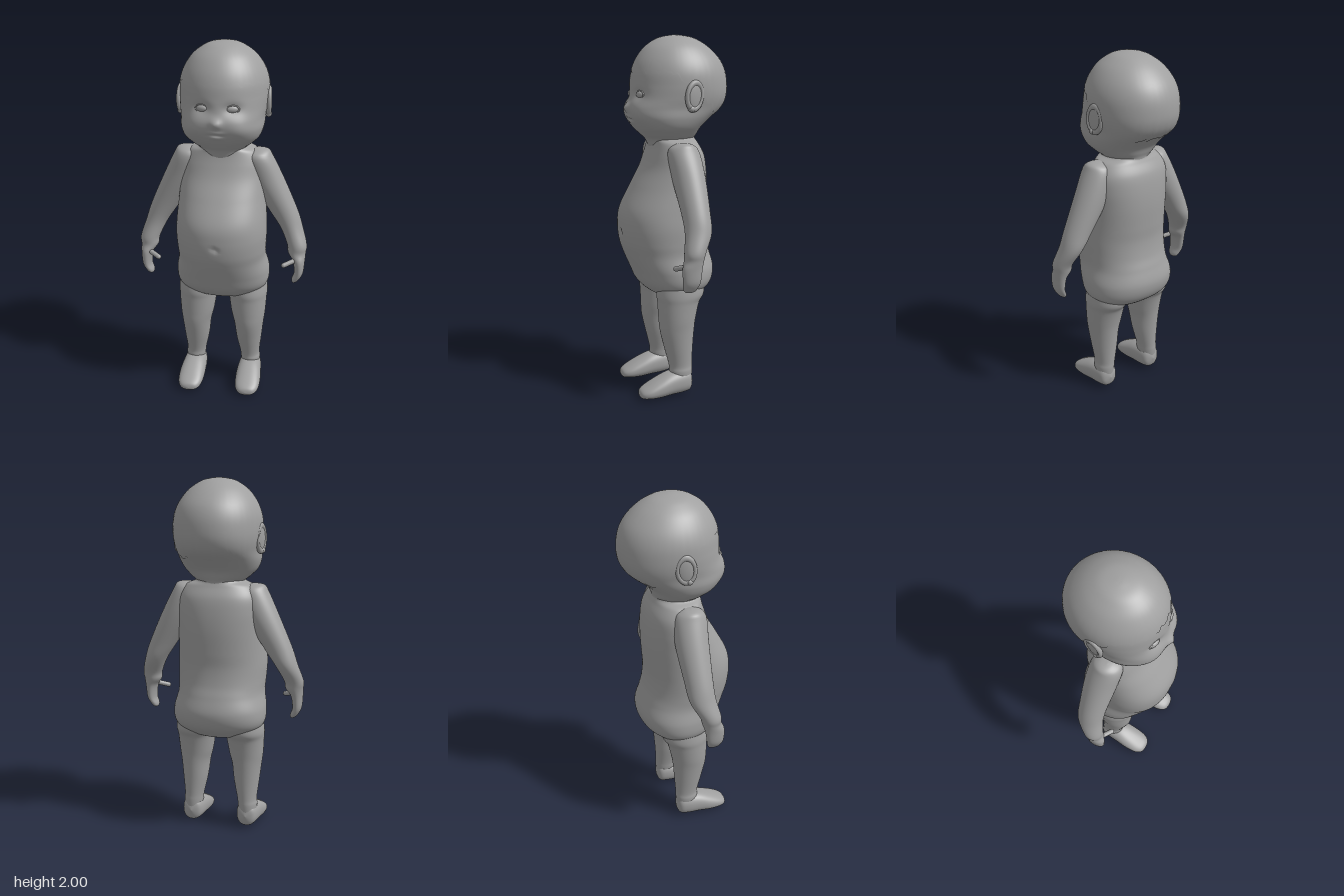
import * as THREE from 'three';
import { mergeVertices } from 'three/addons/utils/BufferGeometryUtils.js';

const skin = new THREE.MeshStandardMaterial({ color: 0xa0a0a0 });
skin.name = 'grey vinyl';

// Smooth interpolation between cross-sections [y, centreX, halfWidth, zFront, zBack, roundness]
function ringAt(rings, t) {
  const n = rings.length - 1;
  const f = Math.min(Math.max(t, 0), 1) * n;
  const i = Math.min(Math.floor(f), n - 1);
  const u = f - i;
  const at = (k) => rings[Math.min(Math.max(k, 0), n)];
  const [a, b, c, d] = [at(i - 1), at(i), at(i + 1), at(i + 2)];
  return b.map((p, k) => {
    const m0 = (c[k] - a[k]) / 2, m1 = (d[k] - p) / 2, e = c[k] - p;
    return p + u * (m0 + u * (3 * e - 2 * m0 - m1 + u * (m0 + m1 - 2 * e)));
  });
}

function pointAt(rings, t, a) {
  const [y, cx, rx, zf, zb, n = 2] = ringAt(rings, t);
  const round = (v) => Math.sign(v) * Math.pow(Math.abs(v), 2 / n);
  return new THREE.Vector3(
    cx + Math.max(rx, 0) * round(Math.cos(a)), y,
    (zf + zb) / 2 + ((zf - zb) / 2) * round(Math.sin(a)));
}

// Skin over the cross-sections, listed from top to bottom
function loft(rings, { segs = 48, rows = 60, warp = null, tEnd = null } = {}) {
  const pos = [], index = [];
  for (let i = 0; i <= rows; i++) {
    for (let j = 0; j < segs; j++) {
      const a = (j / segs) * Math.PI * 2;
      const p = pointAt(rings, (i / rows) * (tEnd ? tEnd(a) : 1), a);
      if (warp) warp(p);
      pos.push(p.x, p.y, p.z);
      if (i === rows) continue;
      const k = (j + 1) % segs, r = i * segs, s = r + segs;
      index.push(r + j, r + k, s + j, r + k, s + k, s + j);
    }
  }
  let g = new THREE.BufferGeometry();
  g.setAttribute('position', new THREE.Float32BufferAttribute(pos, 3));
  g.setIndex(index);
  g = mergeVertices(g, 1e-5);
  g.computeVertexNormals();
  return g;
}

const bump = (p, x, y, sx, sy) => Math.exp(-(((p.x - x) / sx) ** 2) - ((p.y - y) / sy) ** 2);

const TORSO = [
  [1.47, 0, 0.12, 0.14, -0.12], [1.445, 0, 0.14, 0.135, -0.12], [1.42, 0, 0.19, 0.13, -0.13],
  [1.36, 0, 0.225, 0.145, -0.16], [1.28, 0, 0.235, 0.175, -0.175], [1.18, 0, 0.24, 0.232, -0.18],
  [1.06, 0, 0.248, 0.295, -0.175], [0.97, 0, 0.252, 0.308, -0.17], [0.88, 0, 0.248, 0.3, -0.18],
  [0.81, 0, 0.246, 0.278, -0.2], [0.72, 0, 0.264, 0.238, -0.221], [0.64, 0, 0.256, 0.2, -0.2],
  [0.585, 0, 0.2, 0.14, -0.14], [0.555, 0, 0.1, 0.07, -0.08], [0.545, 0, 0, 0, 0],
].map((r) => [...r, 2.2]);

const HEAD = [
  [2, 0, 0, -0.02, -0.02, 2], [1.988, 0, 0.072, 0.058, -0.1, 2], [1.965, 0, 0.12, 0.11, -0.155, 2],
  [1.925, 0, 0.17, 0.16, -0.212, 2], [1.865, 0, 0.212, 0.202, -0.268, 2], [1.8, 0, 0.236, 0.226, -0.297, 2],
  [1.73, 0, 0.241, 0.236, -0.305, 2.05], [1.67, 0, 0.236, 0.245, -0.298, 2.15],
  [1.615, 0, 0.226, 0.26, -0.27, 2.25], [1.56, 0, 0.222, 0.25, -0.205, 2.25], [1.51, 0, 0.203, 0.22, -0.152, 2.2],
  [1.47, 0, 0.165, 0.182, -0.132, 2.1], [1.44, 0, 0.132, 0.152, -0.122, 2], [1.39, 0, 0.125, 0.13, -0.12, 2],
  [1.34, 0, 0.12, 0.12, -0.12, 2],
];

const ARM = [
  [1.434, 0.2, 0, 0.015, 0.015], [1.425, 0.2, 0.05, 0.055, -0.035], [1.385, 0.195, 0.08, 0.095, -0.075],
  [1.26, 0.238, 0.098, 0.09, -0.09], [1.08, 0.335, 0.08, 0.075, -0.08], [0.98, 0.385, 0.063, 0.075, -0.07],
  [0.89, 0.42, 0.055, 0.092, -0.025], [0.845, 0.422, 0.05, 0.095, -0.012], [0.8, 0.435, 0.034, 0.11, 0],
  [0.73, 0.436, 0.026, 0.108, 0.01], [0.69, 0.42, 0.022, 0.1, 0.022], [0.672, 0.412, 0.012, 0.085, 0.035],
  [0.668, 0.41, 0, 0.06, 0.06],
];

const LEG = [
  [0.72, 0.14, 0.1, 0.12, -0.12], [0.6, 0.144, 0.113, 0.142, -0.13], [0.54, 0.146, 0.108, 0.138, -0.1],
  [0.45, 0.15, 0.098, 0.134, -0.078], [0.38, 0.154, 0.085, 0.128, -0.068], [0.28, 0.155, 0.073, 0.105, -0.06],
  [0.18, 0.16, 0.057, 0.08, -0.055], [0.14, 0.164, 0.056, 0.078, -0.055], [0.08, 0.165, 0.05, 0.07, -0.05],
];

// Foot sections run from toe to heel; depth entries are the negated sole and instep heights
const FOOT = [
  [0.262, 0.168, 0, -0.03, -0.03], [0.252, 0.168, 0.042, -0.012, -0.054], [0.215, 0.168, 0.066, -0.006, -0.078],
  [0.15, 0.167, 0.073, -0.003, -0.112], [0.08, 0.165, 0.07, -0.008, -0.14], [0, 0.164, 0.062, -0.012, -0.15],
  [-0.04, 0.164, 0.045, -0.025, -0.135], [-0.057, 0.164, 0, -0.08, -0.08],
].map((r) => [...r, 2.3]);

// Facial relief: eye sockets, nose, lips, chin and cheeks
function face(p) {
  if (p.z < 0.05) return;
  const ax = { x: Math.abs(p.x), y: p.y };
  p.z += 0.02 * bump(p, 0, 1.615, 0.025, 0.025) - 0.016 * bump(ax, 0.08, 1.688, 0.045, 0.03)
    + 0.007 * bump(p, 0, 1.568, 0.035, 0.01) - 0.008 * bump(p, 0, 1.552, 0.04, 0.006)
    + 0.006 * bump(p, 0, 1.535, 0.03, 0.01) + 0.01 * bump(ax, 0.13, 1.58, 0.06, 0.05);
}

function navel(p) {
  if (p.z > 0) p.z -= 0.014 * bump(p, 0, 0.935, 0.014, 0.014);
}

// Jagged hairline, low at the nape and high on the brow
function hairline(a) {
  const s = Math.sin(a);
  const y = s > 0.45 ? 1.805 : s > -0.1 ? 1.7 + (s + 0.1) * 0.19 : 1.7 - 0.12 * Math.min(1, (-0.1 - s) / 0.6);
  const target = y + 0.008 * Math.sin(a * 23) + 0.005 * Math.sin(a * 41);
  let lo = 0, hi = 1;
  for (let i = 0; i < 20; i++) {
    const mid = (lo + hi) / 2;
    if (ringAt(HEAD, mid)[0] > target) lo = mid; else hi = mid;
  }
  return lo;
}

export function createModel() {
  const model = new THREE.Group();
  model.name = 'babyDoll';
  const add = (name, geometry, parent = model) => {
    const mesh = new THREE.Mesh(geometry, skin);
    mesh.name = name;
    parent.add(mesh);
    return mesh;
  };

  add('torso', loft(TORSO, { segs: 96, rows: 120, warp: navel }));
  add('head', loft(HEAD, { segs: 128, rows: 140, warp: face }));

  // Thin scalp shell ending at the hairline
  const centre = new THREE.Vector3(0, 1.75, -0.035);
  add('scalp', loft(HEAD, {
    segs: 160, rows: 30, tEnd: hairline,
    warp: (p) => p.sub(centre).multiplyScalar(1.01).add(centre).setY(Math.min(p.y, 2)),
  }));

  for (const s of [1, -1]) {
    const side = s > 0 ? 'left' : 'right';
    const mirrored = (rings) => rings.map(([y, cx, ...rest]) => [y, cx * s, ...rest]);
    add(side + 'Arm', loft(mirrored(ARM)));
    add(side + 'Leg', loft(mirrored(LEG)));
    add(side + 'Foot', loft(mirrored(FOOT)).rotateX(Math.PI / 2));

    // Thumb reaching inwards and forwards
    const from = new THREE.Vector3(0.43 * s, 0.815, 0.075), to = new THREE.Vector3(0.356 * s, 0.79, 0.117);
    const dir = to.clone().sub(from);
    const thumb = add(side + 'Thumb', new THREE.CapsuleGeometry(0.014, dir.length(), 8, 16));
    thumb.position.copy(from).add(to).multiplyScalar(0.5);
    thumb.quaternion.setFromUnitVectors(new THREE.Vector3(0, 1, 0), dir.normalize());

    // Eye with a raised lid rim
    const eye = new THREE.Group();
    eye.name = side + 'Eye';
    eye.position.set(0.08 * s, 1.687, 0.214);
    eye.rotation.y = 0.25 * s;
    add('eyeball', new THREE.SphereGeometry(1, 24, 16).scale(0.031, 0.018, 0.014), eye);
    add('eyelids', new THREE.TorusGeometry(0.034, 0.005, 10, 32).scale(1, 0.6, 1), eye);
    model.add(eye);

    // Ear: dished shell with a rolled rim
    const ear = new THREE.Group();
    ear.name = side + 'Ear';
    ear.position.set(0.238 * s, 1.682, -0.035);
    ear.rotation.set(-0.12, 0.2 * s, 0);
    add('earShell', new THREE.SphereGeometry(1, 24, 16).scale(0.014, 0.078, 0.046), ear);
    add('earRim', new THREE.TorusGeometry(0.045, 0.012, 12, 40).rotateY(Math.PI / 2).scale(1.1, 1.5, 1), ear);
    add('earLobe', new THREE.SphereGeometry(0.018, 16, 12).translate(0, -0.068, 0.012), ear);
    model.add(ear);
  }
  return model;
}
